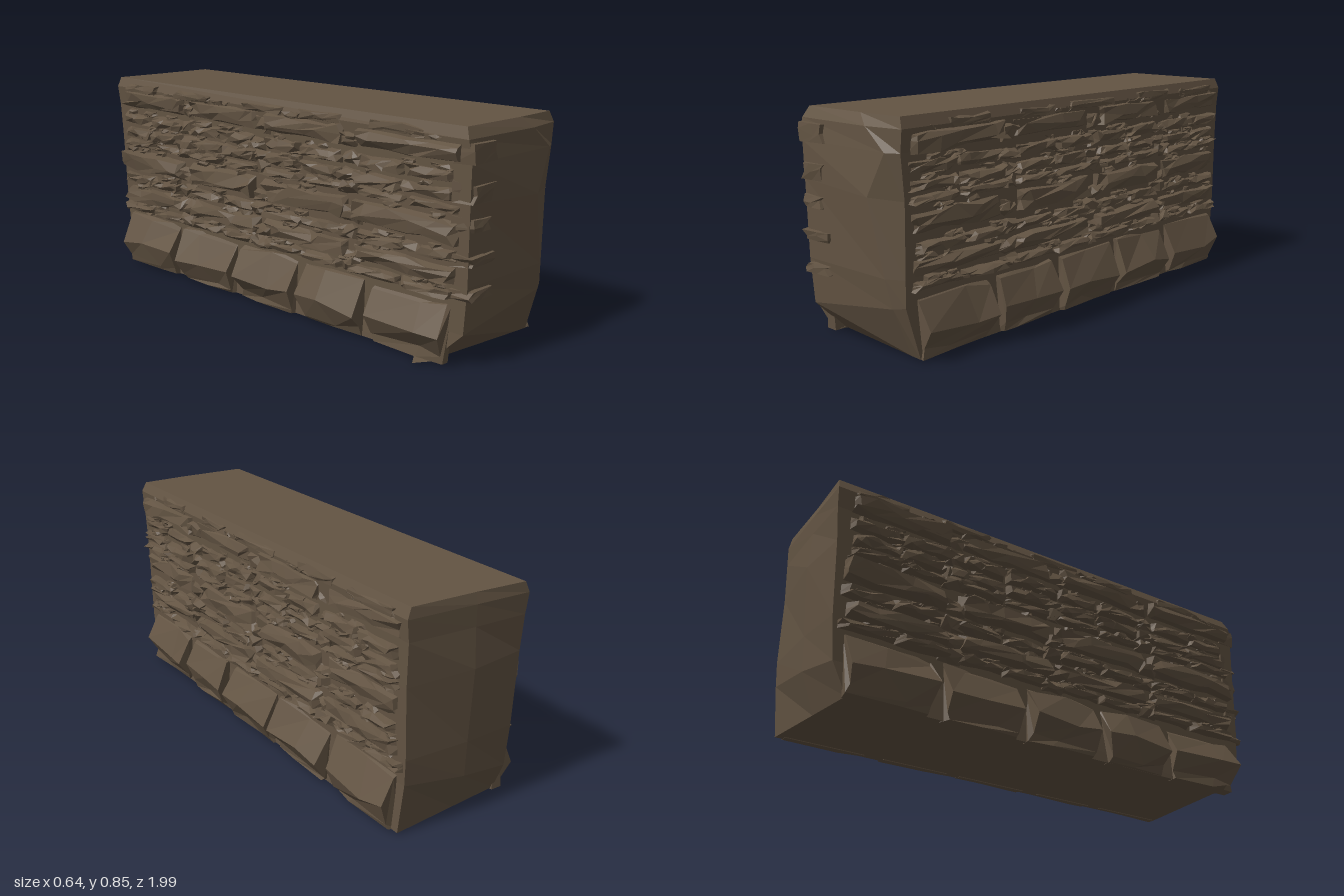
import * as THREE from 'three';
import { mergeGeometries } from 'three/addons/utils/BufferGeometryUtils.js';

const stoneBrown = new THREE.MeshStandardMaterial({ color: 0x635443 });
stoneBrown.name = 'stoneBrown';

let seed = 7;
function rand(a = 0, b = 1) {
  seed = (seed * 16807) % 2147483647;
  return a + (b - a) * (seed / 2147483647);
}

// Flat facets: every triangle keeps its own normal
function faceted(geo) {
  const g = geo.index ? geo.toNonIndexed() : geo;
  g.deleteAttribute('uv');
  g.computeVertexNormals();
  return g;
}

// Moves each distinct corner once, so shared corners stay joined
function chipCorners(geo, rule) {
  const p = geo.attributes.position;
  const moved = new Map();
  for (let i = 0; i < p.count; i++) {
    const v = [p.getX(i), p.getY(i), p.getZ(i)];
    const key = v.map((n) => Math.round(n * 1e4)).join();
    if (!moved.has(key)) moved.set(key, rule(v));
    p.setXYZ(i, ...moved.get(key));
  }
  return faceted(geo);
}

// Rough-hewn stone: a box with a bevelled outer face and chipped corners.
// dir is the outward axis ('x' or 'z') and s its sign.
function stone(dir, s, min, max, bevel, chip, cuts) {
  const size = max.map((v, i) => v - min[i]);
  const seg = dir === 'x' ? [1, 2, cuts] : [cuts, 2, 1];
  const out = dir === 'x' ? 0 : 2;
  const along = 2 - out;
  const geo = chipCorners(new THREE.BoxGeometry(...size, ...seg), (v) => {
    const q = v.slice();
    if (v[out] * s > 0) {
      const edgeY = Math.abs(v[1]) > size[1] * 0.4;
      const edgeA = Math.abs(v[along]) > size[along] * 0.45;
      q[1] -= edgeY ? Math.sign(v[1]) * size[1] * bevel * rand(0.1, 1) : rand(-0.2, 0.2) * size[1];
      q[along] -= edgeA ? Math.sign(v[along]) * rand(0, 0.03) : rand(-0.14, 0.14) * size[along];
      q[out] -= s * rand(0, chip) * (edgeA || edgeY ? 1 : 0.3);
    } else {
      q[1] += rand(-0.007, 0.007);
    }
    return q;
  });
  return geo.translate(...min.map((v, i) => (v + max[i]) / 2));
}

function mesh(name, geos) {
  const m = new THREE.Mesh(Array.isArray(geos) ? mergeGeometries(geos) : geos, stoneBrown);
  m.name = name;
  return m;
}

// Core block from stacked rings of six points
// level: y, tilt across x, half width, front z (left edge, ridge, right edge),
// ridge x, back z (right edge, ridge, left edge)
function coreGeometry() {
  const levels = [
    [0.008, 0, 0.25, 0.83, 0.885, 0.89, 0.2, -0.945, -0.92, -0.9],
    [0.165, 0.15, 0.243, 0.955, 0.965, 0.945, 0.2, -0.965, -0.975, -0.955],
    [0.3, 0, 0.245, 0.968, 0.98, 0.945, 0.18, -0.97, -0.98, -0.97],
    [0.58, -0.05, 0.25, 0.972, 0.997, 0.945, 0.12, -0.965, -0.995, -0.98],
    [0.73, 0, 0.252, 0.975, 0.985, 0.96, 0.2, -0.97, -0.985, -0.99],
    [0.81, 0, 0.26, 0.965, 0.98, 0.96, 0.1, -0.97, -0.985, -0.995],
    [0.85, 0, 0.243, 0.945, 0.955, 0.95, 0.05, -0.965, -0.975, -0.99],
  ];
  const rings = levels.map(([y, t, w, fl, fm, fr, xm, br, bm, bl]) => [
    [-w, fl], [xm, fm], [w, fr], [w, br], [-0.02, bm], [-w * 0.95, bl],
  ].map(([x, z]) => [x, y + t * x, z]));
  const pos = [];
  const tri = (...c) => c.forEach((v) => pos.push(...v));
  for (let r = 0; r < rings.length - 1; r++) {
    const a = rings[r], b = rings[r + 1];
    for (let i = 0; i < 6; i++) {
      const j = (i + 1) % 6;
      tri(a[i], a[j], b[i]);
      tri(a[j], b[j], b[i]);
    }
  }
  const bottom = rings[0], top = rings[rings.length - 1];
  for (let i = 1; i < 5; i++) {
    tri(top[0], top[i], top[i + 1]);
    tri(bottom[0], bottom[i + 1], bottom[i]);
  }
  const g = new THREE.BufferGeometry();
  g.setAttribute('position', new THREE.Float32BufferAttribute(pos, 3));
  g.computeVertexNormals();
  return g;
}

// Stone sitting on a side wall between two heights and depths
function sideStone(s, y0, y1, z0, z1, reach, bevel, chip, cuts) {
  const a = s * 0.232, b = s * reach;
  return stone('x', s, [Math.min(a, b), y0, z0], [Math.max(a, b), y1, z1], bevel, chip, cuts);
}

// Flared foot stone: sloping top, widest low down, undercut and narrower at the bottom
function footStone(s, z0, z1) {
  const profile = [[0.225, 0.005], [0.272, 0.01], [0.28, 0.035], [0.32, 0.105], [0.262, 0.215], [0.225, 0.235]];
  const shape = new THREE.Shape(profile.map(([x, y]) => new THREE.Vector2(s * x, y)));
  const depth = z1 - z0;
  const geo = new THREE.ExtrudeGeometry(shape, { depth, bevelEnabled: false, steps: 2 });
  return chipCorners(geo, ([x, y, z]) => {
    const end = Math.sign(Math.round((z / depth - 0.5) * 4));
    const inward = y < 0.05 ? rand(0.01, 0.035) : rand(0, 0.02);
    const outer = Math.abs(x) > 0.25;
    return [
      x - (outer ? s * rand(0, 0.02) : 0),
      y + (outer && y > 0.03 ? rand(-0.012, 0.018) : 0),
      z0 + z - end * inward + (end ? 0 : rand(-0.08, 0.08)),
    ];
  });
}

export function createModel() {
  const wall = new THREE.Group();
  wall.name = 'stoneWall';
  wall.add(mesh('core', coreGeometry()));

  const rows = [[0.25, 0.285], [0.298, 0.365], [0.38, 0.422], [0.442, 0.532], [0.55, 0.582], [0.592, 0.638], [0.652, 0.702], [0.722, 0.8]];
  const joints = [-0.965, -0.5, -0.04, 0.44, 0.95];
  const feet = [[-0.935, -0.57], [-0.54, -0.19], [-0.175, 0.165], [0.195, 0.515], [0.545, 0.905]];

  for (const s of [1, -1]) {
    const side = new THREE.Group();
    side.name = s > 0 ? 'leftFace' : 'rightFace';

    // Courses of long bricks with crumbled seams and wedges between neighbours
    rows.forEach(([y0, y1], r) => {
      const course = [];
      const split = y1 - y0 > 0.06 ? 1 : 2;
      for (let c = 0; c < 4; c++) {
        const z0 = joints[c] + rand(0.005, 0.045), z1 = joints[c + 1] - rand(0.005, 0.045);
        for (let k = 0; k < split; k++) {
          const a = z0 + ((z1 - z0) * k) / split, b = z0 + ((z1 - z0) * (k + 1)) / split;
          course.push(sideStone(s, y0, y1, a, b, rand(0.272, 0.292), 0.25, 0.024, 4));
        }
        // Crumbs in the seam above the brick
        for (let k = 0; k < 3; k++) {
          const z = rand(z0, z1 - 0.1);
          course.push(sideStone(s, y1 - 0.012, y1 + 0.016, z, z + rand(0.05, 0.1), rand(0.258, 0.272), 0.3, 0.015, 2));
        }
      }
      joints.slice(1, 4).forEach((z) => {
        const zc = z + rand(-0.02, 0.02);
        course.push(sideStone(s, y0 - 0.01, y0 + rand(0.04, 0.075), zc - 0.05, zc + 0.05, rand(0.268, 0.288), 0.45, 0.03, 2));
      });
      side.add(mesh('brickCourse' + (r + 1), course));
    });

    side.add(mesh('footCourse', feet.map(([a, b]) => footStone(s, a, b))));

    // Long low chips under the top rim
    const rim = [];
    for (let k = 0; k < 5; k++) {
      const z = -0.9 + k * 0.36 + rand(-0.04, 0.04);
      rim.push(sideStone(s, 0.79, rand(0.828, 0.84), z, z + rand(0.2, 0.3), rand(0.262, 0.27), 0.35, 0.01, 3));
    }
    side.add(mesh('rimChips', rim));
    wall.add(side);
  }

  // Bricks turning the right front corner
  const corner = [[-0.115, 0.725, 0.8], [-0.12, 0.59, 0.66], [-0.13, 0.49, 0.54], [-0.11, 0.37, 0.41], [-0.12, 0.25, 0.29]];
  wall.add(mesh('cornerBricks', corner.map(([x1, y0, y1]) =>
    stone('z', 1, [-0.258, y0, 0.9], [x1, y1, 0.99], 0.12, 0.01, 2))));

  // Thin splinter at the foot of the right front corner
  const splinter = new THREE.ConeGeometry(0.03, 0.1, 4).rotateZ(Math.PI / 2).scale(1, 0.2, 2.2);
  wall.add(mesh('footSplinter', faceted(splinter.translate(-0.272, 0.008, 0.8))));

  return wall;
}
